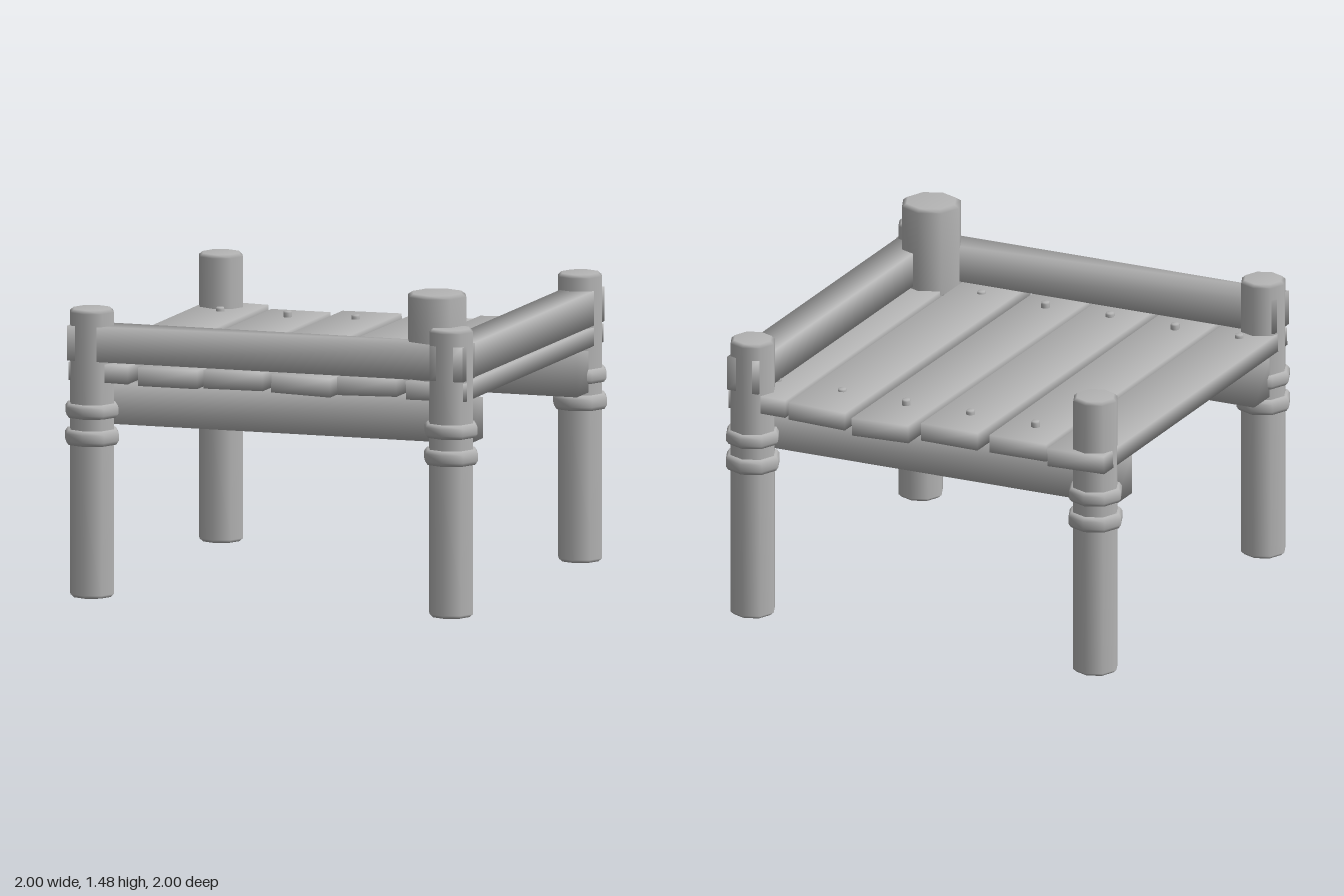
import * as THREE from 'three';
import { mergeVertices } from 'three/addons/utils/BufferGeometryUtils.js';

const wood = new THREE.MeshStandardMaterial({ color: 0xb4b4b4 });
wood.name = 'grey wood';

// Box with shared corners, so the shading is soft across its edges
function softBox(w, h, d) {
  const box = new THREE.BoxGeometry(w, h, d);
  box.deleteAttribute('uv');
  box.deleteAttribute('normal');
  const geometry = mergeVertices(box);
  geometry.computeVertexNormals();
  return geometry;
}

// Eight-sided post with small bevels at both ends, standing on y = 0
function postGeometry(r, h, bevel = 0.015) {
  const profile = [
    [0, 0], [r * 0.84, 0], [r, bevel], [r, h - bevel], [r * 0.84, h], [0, h],
  ].map(([x, y]) => new THREE.Vector2(x, y));
  return new THREE.LatheGeometry(profile, 8);
}

// Rope band: a closed, rounded cross-section turned around the leg
function bandGeometry(r, h) {
  const profile = [
    [0.09, 0], [r - 0.012, 0], [r, h * 0.25], [r, h * 0.75], [r - 0.012, h], [0.09, h],
  ].map(([x, y]) => new THREE.Vector2(x, y));
  return new THREE.LatheGeometry(profile, 8);
}

export function createModel() {
  const model = new THREE.Group();
  model.name = 'woodenPlatform';

  function add(name, geometry, x, y, z, parent = model) {
    const mesh = new THREE.Mesh(geometry, wood);
    mesh.name = name;
    mesh.position.set(x, y, z);
    parent.add(mesh);
    return mesh;
  }

  // Corner legs, each bound with two bands
  const leg = postGeometry(0.107, 1.33);
  const upperBand = bandGeometry(0.128, 0.065);
  const lowerBand = bandGeometry(0.13, 0.07);
  for (const sx of [-1, 1]) {
    for (const sz of [-1, 1]) {
      const corner = new THREE.Group();
      corner.name = (sz > 0 ? 'front' : 'back') + (sx > 0 ? 'Left' : 'Right') + 'Leg';
      corner.position.set(sx * 0.87, 0, sz * 0.87);
      add('post', leg, 0, 0, 0, corner);
      add('upperBand', upperBand, 0, 0.83, 0, corner);
      add('lowerBand', lowerBand, 0, 0.705, 0, corner);
      model.add(corner);
    }
  }

  // Thick bollard standing on the deck in one corner
  add('bollard', postGeometry(0.142, 0.425), 0.768, 1.05, 0.773);

  // Crossbeams under the deck
  for (const [name, z] of [['frontBeam', 0.722], ['backBeam', -0.722]]) {
    add(name, softBox(1.88, 0.19, 0.18), 0, 0.885, z);
  }

  // Rails along the front and one side
  add('frontRail', softBox(1.92, 0.16, 0.157), 0, 1.175, 0.877);
  add('sideRail', softBox(0.157, 0.16, 1.92), 0.877, 1.175, 0);

  // Deck planks: centre x, centre y, back end, front end, roll, yaw
  const planks = [
    [-0.822, 1.04, -0.985, 0.93, -0.02, 0.004],
    [-0.495, 1.03, -0.92, 0.91, 0.0, 0.006],
    [-0.165, 1.038, -0.94, 0.92, 0.01, -0.003],
    [0.162, 1.03, -0.985, 0.91, -0.03, -0.006],
    [0.487, 1.046, -0.98, 0.93, 0.025, -0.004],
    [0.815, 1.042, -0.945, 0.935, 0.01, 0.003],
  ];
  const nail = postGeometry(0.021, 0.045, 0.008);
  for (const [x, y, back, front, roll, yaw] of planks) {
    const plank = add('plank', softBox(0.287, 0.084, front - back), x, y, (front + back) / 2);
    plank.rotation.set(0, yaw, roll);
    // One nail at each end, over the beams
    for (const z of [-0.725, 0.72]) add('nail', nail, x, 1.055, z);
  }

  return model;
}
